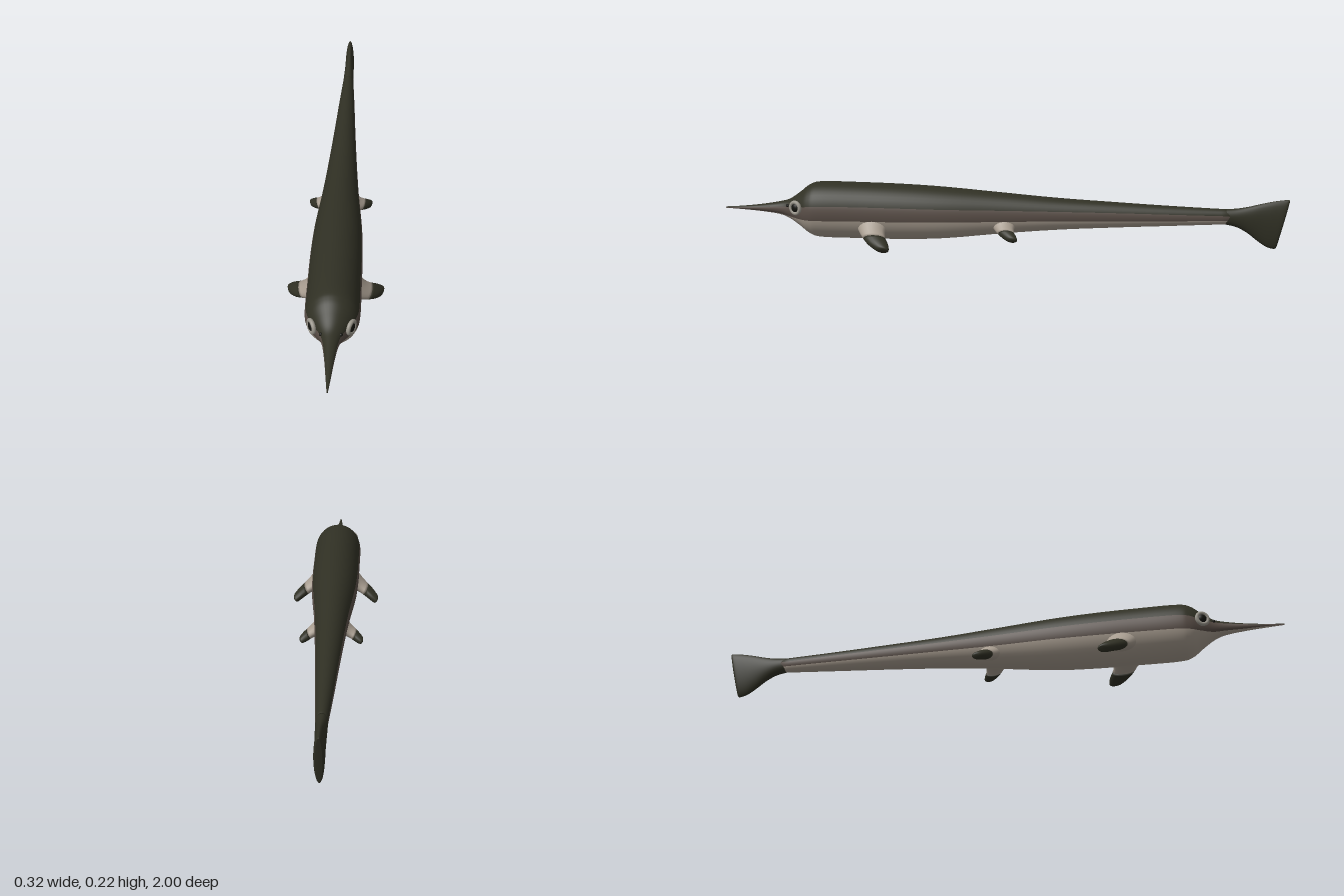
import * as THREE from 'three';

const material = (name, color, extra = {}) =>
  Object.assign(new THREE.MeshStandardMaterial({ color, ...extra }), { name });

// Skin closed rings of equal length; bands = [segmentCount, materialIndex] around the ring
function loft(rings, bands, reversedCaps = false) {
  const n = rings[0].length, pos = [], index = [];
  rings.forEach(r => r.forEach(p => pos.push(p.x, p.y, p.z)));
  const geo = new THREE.BufferGeometry();
  let first = 0;
  for (const [count, mat] of bands) {
    const start = index.length;
    for (let i = 0; i < rings.length - 1; i++) {
      for (let k = first; k < first + count; k++) {
        const a = i * n + k, b = i * n + (k + 1) % n;
        index.push(a, a + n, b + n, a, b + n, b);
      }
    }
    geo.addGroup(start, index.length - start, mat);
    first += count;
  }
  // Rounded-off ends closed with a fan
  [0, rings.length - 1].forEach((i, end) => {
    const c = new THREE.Vector3();
    rings[i].forEach(p => c.addScaledVector(p, 1 / n));
    const ci = pos.length / 3, start = index.length;
    pos.push(c.x, c.y, c.z);
    for (let k = 0; k < n; k++) {
      const a = i * n + k, b = i * n + (k + 1) % n;
      end ? index.push(ci, b, a) : index.push(ci, a, b);
    }
    geo.addGroup(start, n, 0);
    geo.groups[geo.groups.length - 1].count = n * 3;
  });
  geo.setAttribute('position', new THREE.Float32BufferAttribute(pos, 3));
  geo.setIndex(index);
  geo.computeVertexNormals();
  return geo;
}

// Smooth resampling of station rows, evenly by row
function resample(rows, steps) {
  const part = k => new THREE.CatmullRomCurve3(
    rows.map(r => new THREE.Vector3(r[k], r[k + 1], r[k + 2])), false, 'catmullrom');
  const a = part(0), b = part(3);
  return Array.from({ length: steps + 1 }, (_, i) =>
    [...a.getPoint(i / steps).toArray(), ...b.getPoint(i / steps).toArray()]);
}

export function createModel() {
  const model = new THREE.Group();
  const back = material('dark olive back', 0x303024);
  const flank = material('brown flank', 0x594e47);
  const belly = material('pale belly', 0xa89d90);
  const ring = material('eye ring grey', 0x9a968c);
  const black = material('pupil black', 0x14140f);
  const skin = [back, flank, belly];

  const add = (parent, name, geo, mat) => {
    const mesh = new THREE.Mesh(geo, mat);
    mesh.name = name;
    parent.add(mesh);
    return mesh;
  };

  // Body and beak: z, bottom, top, half width, belly line, back line
  const stations = [
    [1.0, 0.117, 0.122, 0.002, 0.118, 0.120],
    [0.94, 0.114, 0.126, 0.008, 0.116, 0.122],
    [0.87, 0.109, 0.134, 0.015, 0.112, 0.126],
    [0.8, 0.100, 0.146, 0.025, 0.107, 0.132],
    [0.76, 0.085, 0.158, 0.038, 0.100, 0.135],
    [0.72, 0.058, 0.186, 0.062, 0.097, 0.138],
    [0.685, 0.032, 0.212, 0.081, 0.097, 0.146],
    [0.64, 0.021, 0.222, 0.088, 0.098, 0.150],
    [0.5, 0.020, 0.222, 0.088, 0.100, 0.151],
    [0.35, 0.021, 0.219, 0.087, 0.101, 0.150],
    [0.2, 0.028, 0.212, 0.081, 0.103, 0.148],
    [0.0, 0.050, 0.197, 0.064, 0.106, 0.146],
    [-0.2, 0.069, 0.182, 0.051, 0.110, 0.144],
    [-0.4, 0.082, 0.172, 0.040, 0.113, 0.142],
    [-0.6, 0.093, 0.163, 0.030, 0.116, 0.139],
    [-0.8, 0.104, 0.156, 0.019, 0.119, 0.136],
  ];
  const rings = resample(stations, 90).map(([z, b, t, w, low, high]) => {
    const cy = (b + t) / 2, ry = (t - b) / 2;
    const angle = y => Math.asin(THREE.MathUtils.clamp((y - cy) / ry, -0.97, 0.97));
    const lo = angle(low), hi = angle(high), PI = Math.PI;
    // right flank, back, left flank, belly
    const arcs = [[lo, hi, 5], [hi, PI - hi, 18], [PI - hi, PI - lo, 5], [PI - lo, 2 * PI + lo, 18]];
    return arcs.flatMap(([from, to, n]) => Array.from({ length: n }, (_, i) => {
      const a = from + (to - from) * i / n;
      return new THREE.Vector3(w * Math.cos(a), cy + ry * Math.sin(a), z);
    }));
  });
  add(model, 'body', loft(rings, [[5, 1], [18, 0], [5, 1], [18, 2]]), skin);

  // Tail fluke: z, bottom, top, half width, slant of the section
  const tail = [
    [-0.78, 0.103, 0.157, 0.0195, 0, 0],
    [-0.82, 0.094, 0.160, 0.019, 0, 0],
    [-0.86, 0.074, 0.168, 0.018, 0.002, 0],
    [-0.9, 0.048, 0.180, 0.017, 0.008, 0],
    [-0.94, 0.026, 0.190, 0.017, 0.015, 0],
    [-0.972, 0.019, 0.195, 0.016, 0.02, 0],
    [-0.98, 0.024, 0.193, 0.010, 0.02, 0],
  ];
  const tailRings = resample(tail, 36).map(([z, b, t, w, slant]) =>
    Array.from({ length: 28 }, (_, i) => {
      const a = i / 28 * Math.PI * 2, s = Math.sin(a);
      return new THREE.Vector3(w * Math.cos(a), (b + t) / 2 + (t - b) / 2 * s, z - slant * s);
    }));
  add(model, 'tailFin', loft(tailRings, [[28, 0]]), skin);

  // Paddle along centre points: x, y, z, half chord, half thickness
  function paddle(parent, name, rows) {
    const a = rows[0], e = rows[rows.length - 1];
    const d = new THREE.Vector2(e[0] - a[0], e[1] - a[1]).normalize();
    const sections = resample(rows.map(r => [...r, 0]), 20).map(([x, y, z, c, t]) =>
      Array.from({ length: 20 }, (_, i) => {
        const q = i / 20 * Math.PI * 2, v = t * Math.sin(q);
        return new THREE.Vector3(x - d.y * v, y + d.x * v, z + c * Math.cos(q));
      }));
    const split = 9;
    add(parent, name + 'Root', loft(sections.slice(0, split + 1), [[20, 0]]), [belly]);
    add(parent, name, loft(sections.slice(split), [[20, 0]]), [back]);
  }

  for (const side of [1, -1]) {
    const half = new THREE.Group();
    half.name = side > 0 ? 'leftSide' : 'rightSide';
    half.scale.x = side;
    model.add(half);

    paddle(half, 'frontFlipper', [
      [0.052, 0.082, 0.45, 0.066, 0.042],
      [0.080, 0.066, 0.45, 0.048, 0.028],
      [0.105, 0.050, 0.44, 0.041, 0.021],
      [0.132, 0.033, 0.42, 0.036, 0.018],
      [0.151, 0.019, 0.402, 0.024, 0.015],
      [0.156, 0.015, 0.395, 0.014, 0.009],
    ]);
    paddle(half, 'rearFlipper', [
      [0.035, 0.092, -0.01, 0.048, 0.032],
      [0.056, 0.080, -0.014, 0.036, 0.022],
      [0.074, 0.070, -0.022, 0.030, 0.018],
      [0.092, 0.060, -0.036, 0.025, 0.016],
      [0.105, 0.053, -0.047, 0.018, 0.012],
      [0.109, 0.050, -0.050, 0.009, 0.006],
    ]);

    // Eye with pale ring, facing outward and slightly forward
    const eye = new THREE.Group();
    eye.name = 'eye';
    eye.position.set(0.062, 0.138, 0.728);
    eye.rotation.y = 1.1;
    half.add(eye);
    add(eye, 'eyeRing', new THREE.TorusGeometry(0.02, 0.007, 10, 28), ring);
    add(eye, 'eyeball', new THREE.SphereGeometry(0.016, 20, 14), black).scale.z = 0.6;

    // Nostril
    add(half, 'nostril', new THREE.SphereGeometry(0.006, 12, 8), black).position.set(0.031, 0.138, 0.764);
  }
  return model;
}
